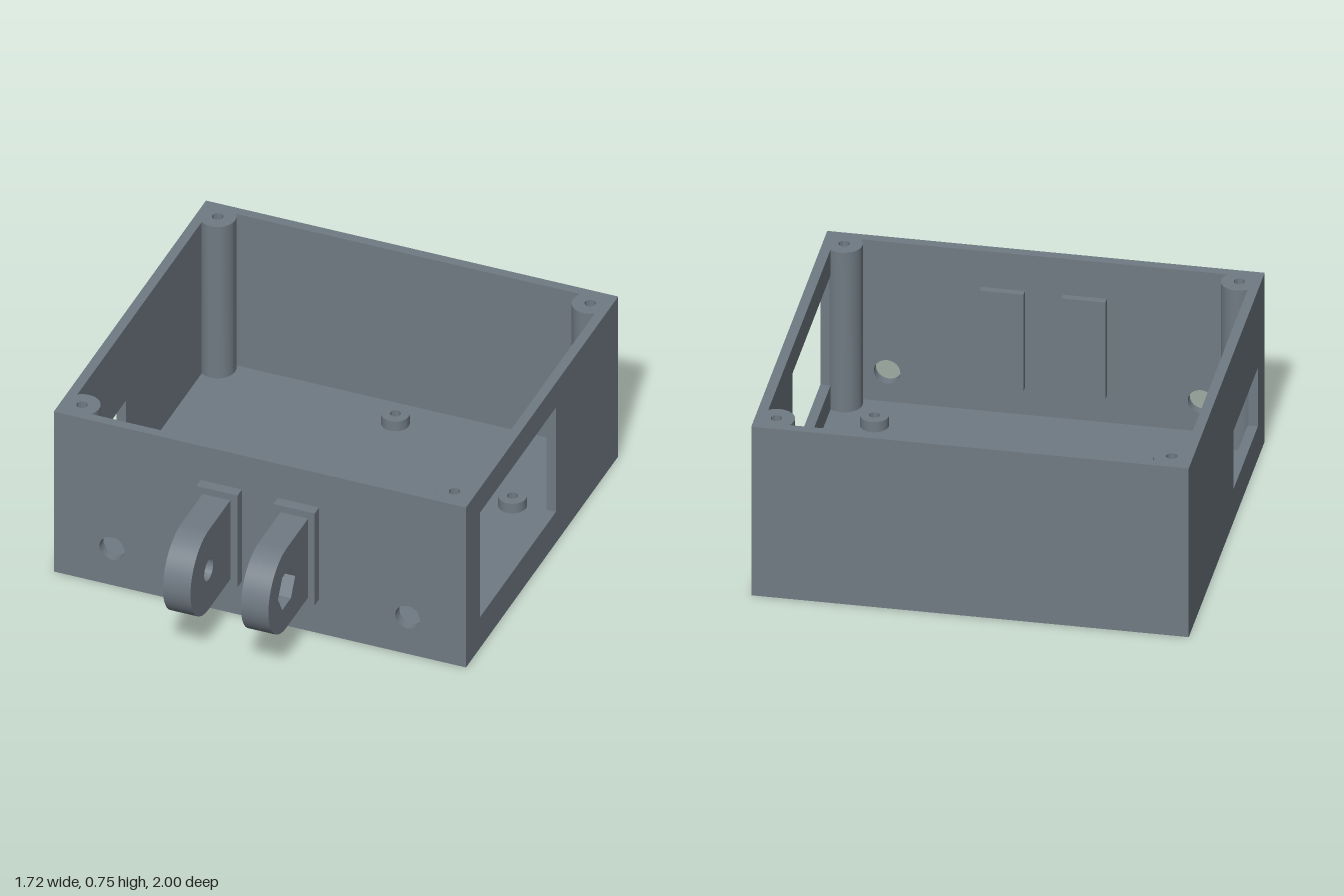
import * as THREE from 'three';
import { toCreasedNormals } from 'three/addons/utils/BufferGeometryUtils.js';

const W = 0.86, H = 0.75, BACK = -1, FRONT = 0.55, T = 0.04;

const rect = (C, x0, y0, x1, y1) => {
  const s = new C();
  s.moveTo(x0, y0); s.lineTo(x1, y0); s.lineTo(x1, y1); s.lineTo(x0, y1); s.closePath();
  return s;
};
const circle = (C, x, y, r) => new C().absarc(x, y, r, 0, Math.PI * 2, false);

// Plate with holes, extruded along +z, with smooth round edges
function plate(shape, depth, holes = []) {
  shape.holes.push(...holes);
  const g = new THREE.ExtrudeGeometry(shape, { depth, bevelEnabled: false, curveSegments: 24 });
  return toCreasedNormals(g, 0.6);
}
// Turns a plate drawn in (z, y) so that it fills x0 .. x0 + depth
const facingSide = (g, x0, depth) => g.rotateY(-Math.PI / 2).translate(x0 + depth, 0, 0);

export function createModel() {
  const model = new THREE.Group();
  model.name = 'mountedEnclosure';
  const grey = new THREE.MeshStandardMaterial({ color: 0x707a83 });
  grey.name = 'slateGrey';
  const add = (name, geometry, x = 0, y = 0, z = 0) => {
    const m = new THREE.Mesh(geometry, grey);
    m.name = name;
    m.position.set(x, y, z);
    model.add(m);
  };

  // Floor
  add('floor', new THREE.BoxGeometry(2 * W, T, FRONT - BACK), 0, T / 2, (FRONT + BACK) / 2);

  // Front wall with two round cable holes, plain back wall
  const holes = [-1, 1].map(s => circle(THREE.Path, s * 0.617, 0.172, 0.052));
  add('frontWall', plate(rect(THREE.Shape, -W, T, W, H), T, holes), 0, 0, FRONT - T);
  add('backWall', plate(rect(THREE.Shape, -W, T, W, H), T), 0, 0, BACK);

  // Side walls, each with its own window
  const sideWall = (name, x0, z0, y1) => {
    const g = plate(rect(THREE.Shape, BACK + T, T, FRONT - T, H), T,
      [rect(THREE.Path, z0, 0.145, 0.41, y1)]);
    add(name, facingSide(g, x0, T));
  };
  sideWall('leftWall', W - T, -0.365, 0.635);
  sideWall('rightWall', -W, -0.09, 0.405);

  // Hollow screw posts: tall in the corners, short on the floor
  const tube = (r, hole, h) =>
    plate(circle(THREE.Shape, 0, 0, r), h, [circle(THREE.Path, 0, 0, hole)]).rotateX(-Math.PI / 2);
  const post = tube(0.072, 0.022, H - T);
  for (const x of [-0.777, 0.777])
    for (const z of [-0.917, 0.465]) add('cornerPost', post, x, T, z);
  const standoff = tube(0.056, 0.021, 0.045);
  for (const [x, z] of [[0, -0.83], [0.63, -0.485], [-0.635, -0.2], [0.63, 0.32]])
    add('standoff', standoff, x, T, z);

  // Hinge lugs on pads that pass through the front wall
  const CY = 0.375, CZ = 0.815, R = 0.185;
  const lug = () => {
    const s = new THREE.Shape();
    s.moveTo(0.59, CY - R);
    s.lineTo(CZ, CY - R);
    s.absarc(CZ, CY, R, -Math.PI / 2, Math.PI / 2, false);
    s.lineTo(0.59, CY + R);
    s.closePath();
    return s;
  };
  const bolt = () => circle(THREE.Path, CZ, CY, 0.046);
  const hex = new THREE.Path().setFromPoints(Array.from({ length: 6 }, (_, i) =>
    new THREE.Vector2(CZ + 0.088 * Math.cos(i * Math.PI / 3), CY + 0.088 * Math.sin(i * Math.PI / 3))));
  hex.closePath();

  for (const s of [-1, 1])
    add('lugPad', new THREE.BoxGeometry(0.172, 0.43, 0.115), s * 0.161, CY, 0.5375);
  add('rightLug', facingSide(plate(lug(), 0.115, [bolt()]), -0.22, 0.115));
  // The left lug has a hexagonal nut recess in its outer half
  add('leftLugInner', facingSide(plate(lug(), 0.055, [bolt()]), 0.105, 0.055));
  add('leftLugNutRecess', facingSide(plate(lug(), 0.06, [hex]), 0.16, 0.06));

  return model;
}
